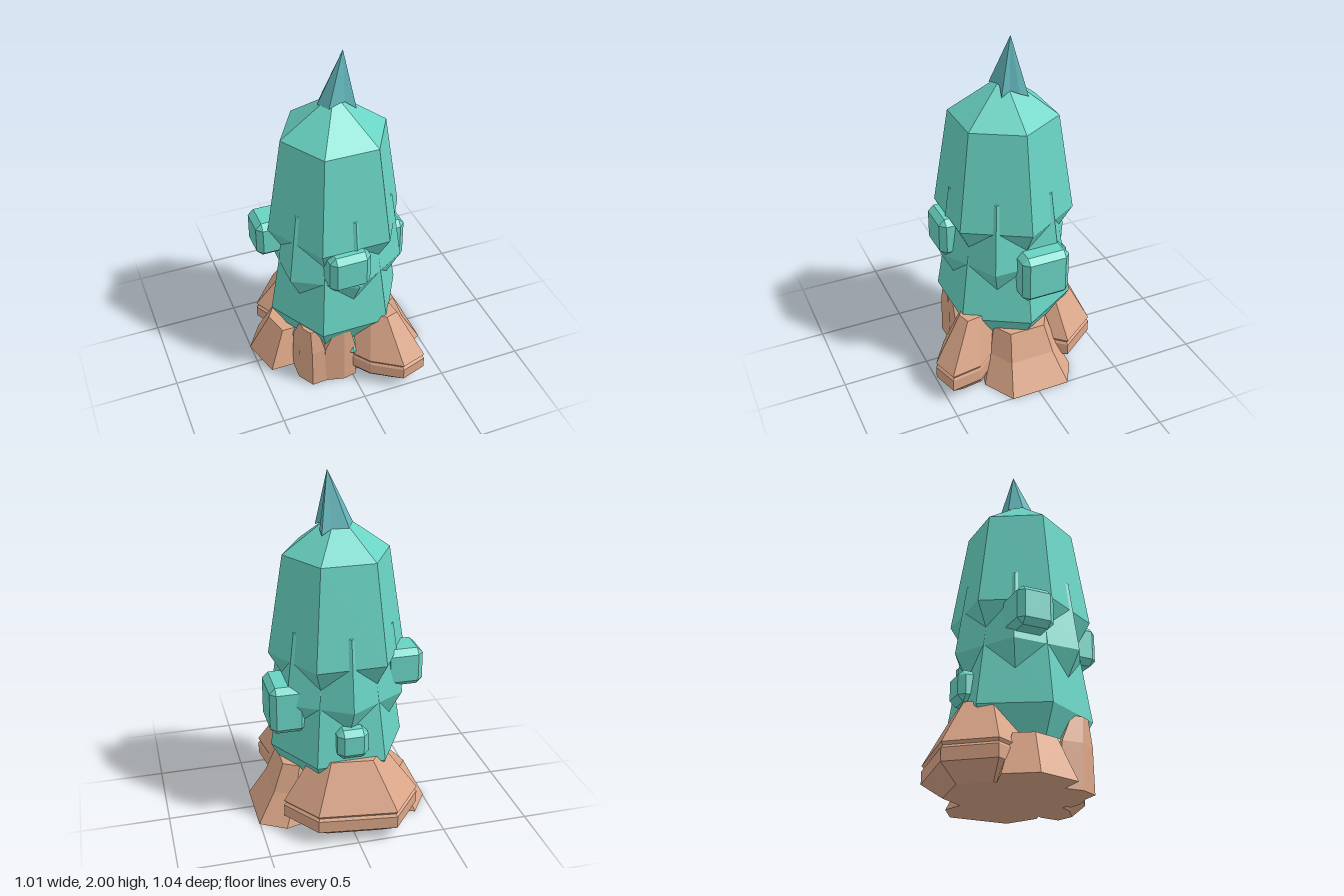
import * as THREE from 'three';
import { ConvexGeometry } from 'three/addons/geometries/ConvexGeometry.js';

const material = (color, side = THREE.FrontSide) =>
  new THREE.MeshStandardMaterial({ color, side, flatShading: true, roughness: 1 });

// Stack scaled copies of an [x, z] outline about an anchor; levels are [y, scale].
function loft(outline, [ax, az], levels) {
  const area = outline.reduce((sum, [x, z], i) => {
    const [nx, nz] = outline[(i + 1) % outline.length];
    return sum + x * nz - nx * z;
  }, 0);
  const poly = area > 0 ? [...outline].reverse() : outline;
  const n = poly.length;
  const rings = levels.map(([y, s]) => poly.map(([x, z]) => [ax + (x - ax) * s, y, az + (z - az) * s]));
  const pos = [];
  const tri = (...corners) => corners.forEach((p) => pos.push(...p));
  const last = rings.length - 1;
  for (let i = 0; i < n; i++) {
    const j = (i + 1) % n;
    for (let k = 0; k < last; k++) {
      const a = rings[k][i], b = rings[k][j], c = rings[k + 1][j], d = rings[k + 1][i];
      tri(a, b, c);
      tri(a, c, d);
    }
    tri([ax, levels[0][0], az], rings[0][j], rings[0][i]);
    tri([ax, levels[last][0], az], rings[last][i], rings[last][j]);
  }
  const geometry = new THREE.BufferGeometry();
  geometry.setAttribute('position', new THREE.Float32BufferAttribute(pos, 3));
  geometry.computeVertexNormals();
  return geometry;
}

// Six-sided turned layer; profile is [radius, y] from bottom to top.
function hexLayer(profile, turned) {
  const points = profile.map(([r, y]) => new THREE.Vector2(r, y));
  return new THREE.LatheGeometry(points, 6, turned ? 0 : Math.PI / 6);
}

// Box with chamfered edges, given its lower and upper corners.
function chamferBox(lo, hi, c = 0.033) {
  const points = [];
  for (const sx of [0, 1]) for (const sy of [0, 1]) for (const sz of [0, 1]) {
    const s = [sx, sy, sz];
    for (let full = 0; full < 3; full++) {
      const p = s.map((v, i) => (v ? hi[i] : lo[i]) + (i === full ? 0 : v ? -c : c));
      points.push(new THREE.Vector3(...p));
    }
  }
  return new ConvexGeometry(points);
}

export function createModel() {
  const model = new THREE.Group();
  const leaf = material(0x69d3c3), bark = material(0xdba688);
  const tip = material(0x62b5ba, THREE.DoubleSide);
  const add = (name, geometry, mat) => {
    const mesh = new THREE.Mesh(geometry, mat);
    mesh.name = name;
    model.add(mesh);
  };

  // Foliage: stacked hexagonal layers, every second one turned by 30 degrees
  add('upperFoliage', hexLayer([[0, 0.83], [0.3, 0.83], [0.39, 0.99], [0.3, 1.55], [0, 1.77]]), leaf);
  add('middleFoliage', hexLayer([[0, 0.59], [0.3, 0.59], [0.383, 0.75], [0.323, 1.16], [0, 1.3]], true), leaf);
  add('lowerFoliage', hexLayer([[0, 0.25], [0.3, 0.25], [0.39, 0.41], [0.3, 0.97], [0, 1.1]]), leaf);
  add('bottomFoliage', hexLayer([[0, 0.19], [0.33, 0.2], [0.295, 0.27], [0, 0.3]], true), leaf);

  // Chamfered leaf clumps on the four sides
  add('frontClump', chamferBox([-0.165, 0.76, 0.22], [0.07, 0.99, 0.4]), leaf);
  add('leftClump', chamferBox([0.22, 0.58, -0.22], [0.425, 0.86, 0.06]), leaf);
  add('rightClump', chamferBox([-0.448, 0.79, -0.215], [-0.22, 1.01, -0.005]), leaf);
  add('backClump', chamferBox([-0.09, 0.465, -0.385], [0.085, 0.64, -0.2]), leaf);

  // Crooked spike on the top, its skirt following the slope of the crown
  const skirt = [[-0.085, -0.02], [-0.045, -0.095], [0.05, -0.09], [0.105, -0.1], [0.105, -0.05],
    [0.088, 0], [0.105, 0.055], [0.045, 0.04], [-0.05, 0.06]];
  const spike = skirt.flatMap(([x, z], i) => {
    const [nx, nz] = skirt[(i + 1) % skirt.length];
    const y = (px, pz) => 1.775 - 0.74 * Math.hypot(px, pz);
    return [0.055, 2, -0.017, nx, y(nx, nz), nz, x, y(x, z), z];
  });
  const spikeGeometry = new THREE.BufferGeometry();
  spikeGeometry.setAttribute('position', new THREE.Float32BufferAttribute(spike, 3));
  spikeGeometry.computeVertexNormals();
  add('spike', spikeGeometry, tip);

  // Trunk
  add('trunk', hexLayer([[0, 0], [0.32, 0], [0.27, 0.38], [0, 0.4]]), bark);

  // Heavy roots with a grooved band
  const band = [[0.08, 1], [0.15, 1], [0.165, 0.965], [0.18, 1]];
  add('frontRoot', loft(
    [[-0.01, 0.3], [0.07, 0.41], [0.235, 0.52], [0.385, 0.475], [0.36, 0.3], [0.2, 0.1], [0.05, 0.12]],
    [0.15, 0.2], [[0, 0.68], ...band, [0.44, 0.48]]), bark);
  add('backRoot', loft(
    [[-0.4, -0.3], [-0.215, -0.525], [0.22, -0.465], [0.37, -0.25], [0.2, -0.06], [-0.28, -0.08]],
    [0, -0.2], [[0, 0.65], ...band, [0.44, 0.53]]), bark);

  // Flared side roots
  add('leftRoot', loft(
    [[0.36, -0.27], [0.505, -0.185], [0.505, 0.16], [0.33, 0.26], [0.1, 0.2], [0.1, -0.2]],
    [0.1, 0.02], [[0, 1], [0.17, 0.75], [0.33, 0.6]]), bark);
  add('rightRoot', loft(
    [[-0.4, -0.29], [-0.505, -0.13], [-0.44, 0.105], [-0.2, 0.105], [-0.1, -0.2]],
    [-0.2, -0.05], [[0, 1], [0.24, 0.6]]), bark);

  // Upright root lobes at the front
  add('outerLobe', loft(
    [[-0.3, 0.08], [-0.305, 0.21], [-0.25, 0.305], [-0.16, 0.3], [-0.1, 0.1]],
    [-0.25, 0.25], [[0, 1], [0.25, 0.9], [0.4, 0.5]]), bark);
  add('innerLobe', loft(
    [[-0.18, 0.1], [-0.18, 0.295], [-0.06, 0.325], [0.02, 0.31], [0.03, 0.1]],
    [-0.06, 0.32], [[0, 1], [0.25, 0.9], [0.38, 0.5]]), bark);

  return model;
}
